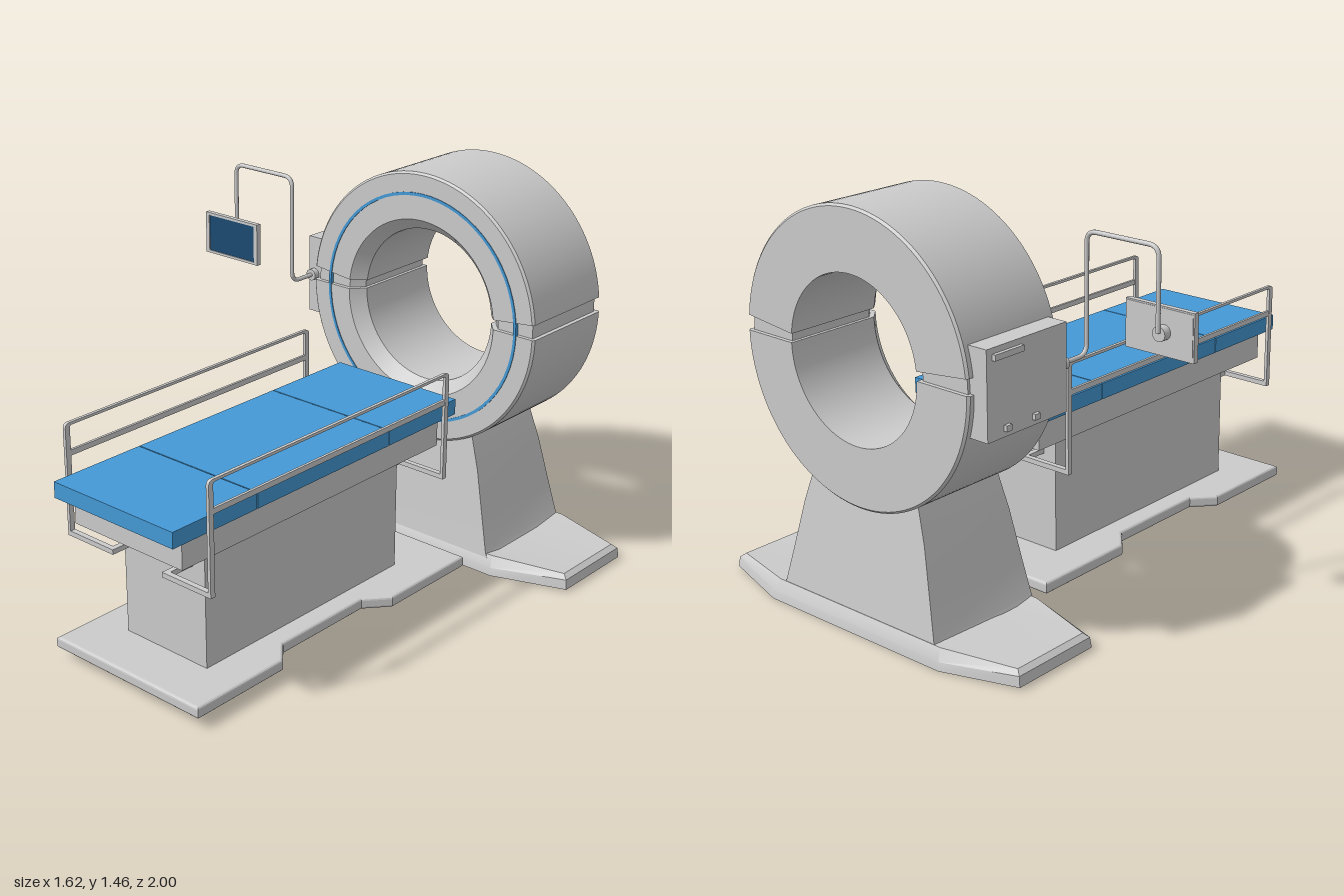
import * as THREE from 'three';
import { toCreasedNormals } from 'three/addons/utils/BufferGeometryUtils.js';

const grey = new THREE.MeshStandardMaterial({ color: 0xcccccc });
const greyDouble = new THREE.MeshStandardMaterial({ color: 0xcccccc, side: THREE.DoubleSide });
const blue = new THREE.MeshStandardMaterial({ color: 0x4499d6 });
const darkBlue = new THREE.MeshStandardMaterial({ color: 0x1b4a70 });

function add(parent, name, geometry, material = grey) {
  const mesh = new THREE.Mesh(geometry, material);
  mesh.name = name;
  parent.add(mesh);
  return mesh;
}

// Box given by its limits on each axis
function box(parent, name, [x0, x1], [y0, y1], [z0, z1], material = grey) {
  const mesh = add(parent, name, new THREE.BoxGeometry(x1 - x0, y1 - y0, z1 - z0), material);
  mesh.position.set((x0 + x1) / 2, (y0 + y1) / 2, (z0 + z1) / 2);
  return mesh;
}

// Skin over stacked loops of points, counter-clockwise from above, closed at both ends
function loft(loops) {
  const n = loops[0].length, index = [];
  for (let i = 0; i < loops.length - 1; i++) {
    for (let j = 0; j < n; j++) {
      const a = i * n + j, b = i * n + (j + 1) % n;
      index.push(a, b, b + n, a, b + n, a + n);
    }
  }
  const top = (loops.length - 1) * n;
  for (let j = 1; j < n - 1; j++) index.push(0, j + 1, j, top, top + j, top + j + 1);
  const g = new THREE.BufferGeometry();
  g.setAttribute('position', new THREE.Float32BufferAttribute(loops.flat(2), 3));
  g.setIndex(index);
  return toCreasedNormals(g, 0.4);
}

// Arc of a ring about the z axis, swept from a closed (radius, z) profile
function ringArc(parent, name, profile, start, sweep, material = grey) {
  const pts = profile.map(([r, z]) => new THREE.Vector2(r, z));
  const g = new THREE.LatheGeometry([...pts, pts[0].clone()], 64, start + Math.PI / 2, sweep);
  g.rotateX(Math.PI / 2);
  add(parent, name, toCreasedNormals(g, 0.5), material);
  if (sweep > 6.28) return;
  for (const angle of [start, start + sweep]) {
    const cap = new THREE.ShapeGeometry(new THREE.Shape(pts));
    cap.rotateX(Math.PI / 2).rotateZ(angle);
    add(parent, name + 'End', cap, greyDouble);
  }
}

function buildGantry() {
  const gantry = new THREE.Group();
  gantry.name = 'gantry';

  // Scanner ring in two halves with a recessed band between them
  const ring = new THREE.Group();
  ring.name = 'scannerRing';
  ring.position.set(0.128, 0.945, 0);
  gantry.add(ring);
  const shell = [[0.29, -0.95], [0.502, -0.95], [0.51, -0.942], [0.51, -0.538],
    [0.502, -0.53], [0.335, -0.53], [0.29, -0.58]];
  const core = [[0.303, -0.935], [0.494, -0.935], [0.494, -0.546], [0.345, -0.546], [0.303, -0.59]];
  const light = [[0.424, -0.54], [0.435, -0.54], [0.435, -0.527], [0.424, -0.527]];
  const gap = THREE.MathUtils.degToRad(6.2);
  ringArc(ring, 'upperShell', shell, gap, Math.PI - 2 * gap);
  ringArc(ring, 'lowerShell', shell, -Math.PI, Math.PI);
  ringArc(ring, 'recessedBand', core, 0, Math.PI * 2);
  ringArc(ring, 'lightRing', light, 0, Math.PI * 2, blue);

  // Eight-sided foot with sloping sides
  const plan = [[-0.55, -0.57], [-0.27, -0.485], [0.53, -0.485], [0.81, -0.57],
    [0.81, -0.92], [0.53, -1], [-0.27, -1], [-0.55, -0.92]];
  const footLoop = (inset, yEnd, yMiddle) => plan.map(([x, z]) => [
    0.13 + (x - 0.13) * (1 - inset * 0.35),
    Math.abs(x - 0.13) > 0.5 ? yEnd : yMiddle,
    -0.742 + (z + 0.742) * (1 - inset)]);
  add(gantry, 'gantryFoot', loft([footLoop(0, 0.008, 0), footLoop(0.02, 0.045, 0.03), footLoop(0.1, 0.06, 0.07)]));

  // Flared column carrying the ring
  const column = [[0.05, 0.372, -0.503, -0.975], [0.075, 0.36, -0.506, -0.972], [0.2, 0.33, -0.518, -0.955],
    [0.38, 0.288, -0.534, -0.932], [0.5, 0.25, -0.545, -0.917]].map(([y, w, zf, zb]) =>
    [[0.13 - w, y, zf], [0.13 + w, y, zf], [0.13 + w * 0.99, y, zb], [0.13 - w * 0.99, y, zb]]);
  add(gantry, 'gantryColumn', loft(column));
  return gantry;
}

function buildMonitor() {
  const monitor = new THREE.Group();
  monitor.name = 'monitorUnit';

  // Control box on the side of the ring
  box(monitor, 'controlBox', [-0.435, -0.36], [0.8, 1.1], [-0.925, -0.56]);
  box(monitor, 'controlHandle', [-0.448, -0.435], [1.06, 1.08], [-0.9, -0.77]);
  for (const z of [-0.71, -0.84]) box(monitor, 'controlKnob', [-0.448, -0.435], [0.82, 0.84], [z - 0.012, z + 0.012]);

  // Bent arm: straight runs joined by rounded corners
  const corners = [[-0.695, 1.085, -0.43], [-0.695, 1.362, -0.43], [-0.408, 1.362, -0.43],
    [-0.408, 0.953, -0.43], [-0.408, 0.953, -0.57]].map(p => new THREE.Vector3(...p));
  const path = new THREE.CurvePath();
  let from = corners[0];
  for (let i = 1; i < corners.length - 1; i++) {
    const c = corners[i];
    const a = c.clone().add(corners[i - 1].clone().sub(c).setLength(0.04));
    const b = c.clone().add(corners[i + 1].clone().sub(c).setLength(0.04));
    path.add(new THREE.LineCurve3(from, a));
    path.add(new THREE.QuadraticBezierCurve3(a, c, b));
    from = b;
  }
  path.add(new THREE.LineCurve3(from, corners[4]));
  add(monitor, 'monitorArm', new THREE.TubeGeometry(path, 160, 0.008, 10));
  const flange = add(monitor, 'armFlange', new THREE.CylinderGeometry(0.022, 0.022, 0.025, 24).rotateX(Math.PI / 2));
  flange.position.set(-0.408, 0.953, -0.55);

  // Mount, frame and screen
  const mount = add(monitor, 'monitorMount', new THREE.CylinderGeometry(0.025, 0.025, 0.035, 24).rotateX(Math.PI / 2));
  mount.position.set(-0.695, 1.08, -0.41);
  const frame = new THREE.Shape();
  frame.moveTo(-0.81, 1).lineTo(-0.54, 1).lineTo(-0.54, 1.162).lineTo(-0.81, 1.162);
  const opening = new THREE.Path();
  opening.moveTo(-0.793, 1.01).lineTo(-0.793, 1.152).lineTo(-0.557, 1.152).lineTo(-0.557, 1.01);
  frame.holes.push(opening);
  const bezel = add(monitor, 'monitorFrame', new THREE.ExtrudeGeometry(frame, { depth: 0.02, bevelEnabled: false }));
  bezel.position.z = -0.396;
  box(monitor, 'monitorBack', [-0.805, -0.545], [1.005, 1.157], [-0.398, -0.388]);
  box(monitor, 'screen', [-0.793, -0.557], [1.01, 1.152], [-0.389, -0.38], darkBlue);
  return monitor;
}

function buildTable() {
  const table = new THREE.Group();
  table.name = 'patientTable';
  table.position.x = 0.115;

  // Mattress in three sections on a frame and a box pedestal
  for (const [z0, z1] of [[-0.423, -0.049], [-0.045, 0.618], [0.622, 1]]) {
    box(table, 'mattressSection', [-0.273, 0.273], [0.632, 0.69], [z0, z1], blue);
  }
  box(table, 'tableFrame', [-0.248, 0.248], [0.525, 0.634], [-0.353, 0.938]);
  box(table, 'tablePedestal', [-0.188, 0.188], [0.07, 0.53], [-0.2, 0.78]);

  // Floor plate, narrowed in the middle
  const half = [[0.327, 0.962], [0.327, 0.575], [0.255, 0.495], [0.255, 0.075], [0.327, -0.01], [0.327, -0.41]];
  const outline = [...half, ...half.map(([x, z]) => [-x, z]).reverse()];
  const plate = new THREE.ExtrudeGeometry(new THREE.Shape(outline.map(([x, z]) => new THREE.Vector2(x, -z))),
    { depth: 0.023, bevelThickness: 0.01, bevelSize: 0.01, bevelSegments: 3 });
  plate.rotateX(-Math.PI / 2);
  add(table, 'tableFoot', plate).position.y = 0.046;

  // Side rails: an upright hoop, a middle bar and two brackets back to the pedestal
  const hoop = new THREE.Shape();
  hoop.moveTo(-0.3, 0.44).lineTo(-0.28, 0.44).lineTo(-0.28, 0.826).quadraticCurveTo(-0.28, 0.836, -0.27, 0.836)
    .lineTo(0.87, 0.836).quadraticCurveTo(0.88, 0.836, 0.88, 0.826).lineTo(0.88, 0.44).lineTo(0.9, 0.44)
    .lineTo(0.9, 0.825).quadraticCurveTo(0.9, 0.846, 0.88, 0.846)
    .lineTo(-0.28, 0.846).quadraticCurveTo(-0.3, 0.846, -0.3, 0.825);
  for (const s of [-1, 1]) {
    const rail = new THREE.Group();
    rail.name = s > 0 ? 'leftRail' : 'rightRail';
    table.add(rail);
    const span = (a, b) => s > 0 ? [a, b] : [-b, -a];
    const g = new THREE.ExtrudeGeometry(hoop, { depth: 0.012, bevelEnabled: false });
    g.rotateY(-Math.PI / 2);
    add(rail, 'railHoop', g).position.x = s * 0.327 + 0.006;
    box(rail, 'railBar', span(0.322, 0.332), [0.727, 0.747], [-0.285, 0.885]);
    for (const [z0, z1, p0, p1] of [[0.88, 0.9, 0.77, 0.89], [-0.3, -0.28, -0.29, -0.19]]) {
      box(rail, 'railBracket', span(0.115, 0.333), [0.44, 0.458], [z0, z1]);
      box(rail, 'railSupport', span(0.115, 0.135), [0.44, 0.458], [p0, p1]);
    }
  }
  return table;
}

export function createModel() {
  const model = new THREE.Group();
  model.name = 'scannerWithTable';
  model.add(buildGantry(), buildMonitor(), buildTable());
  return model;
}
